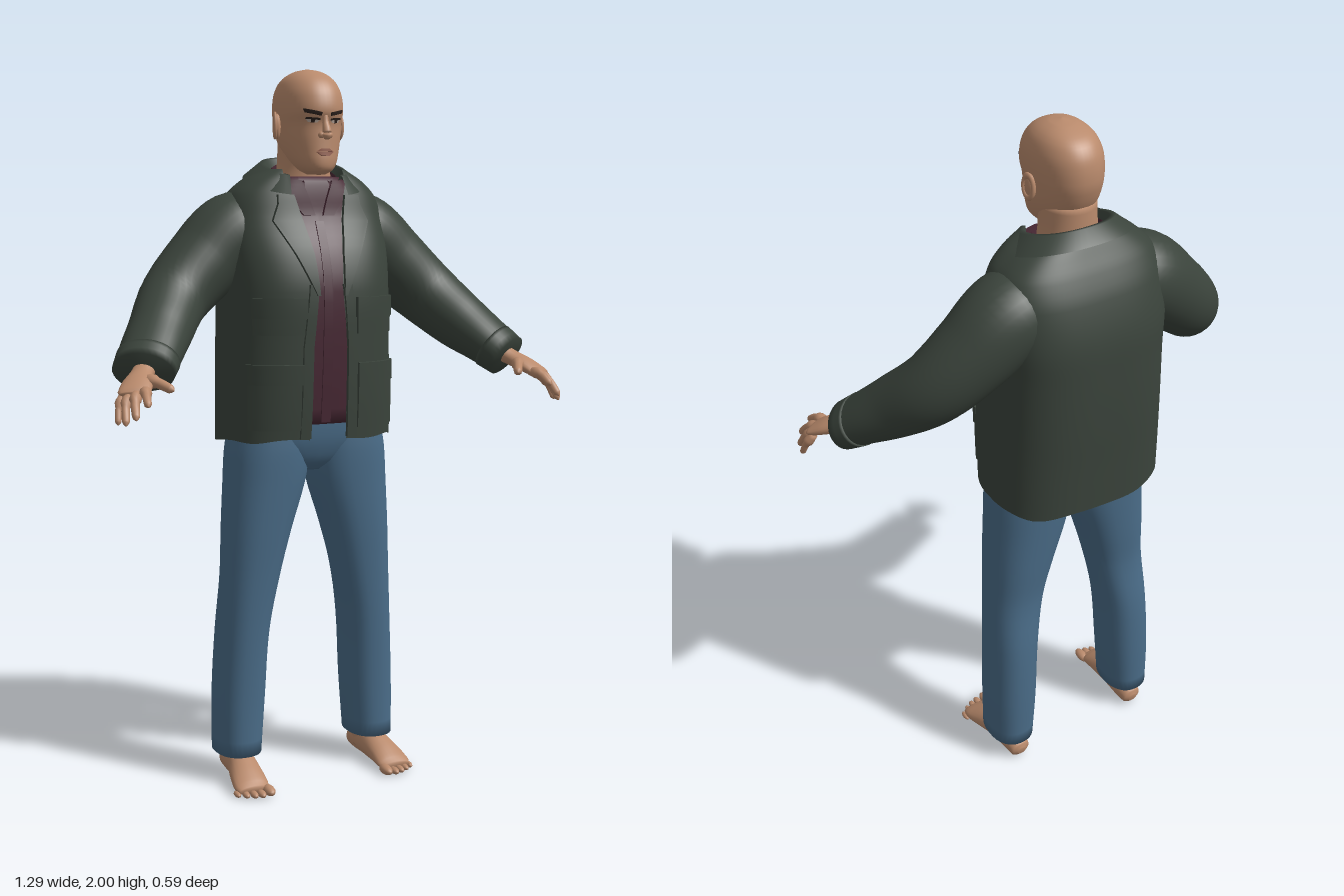
import * as THREE from 'three';

const V = (x, y, z) => new THREE.Vector3(x, y, z);
const mat = (name, color, side = THREE.FrontSide) =>
  Object.assign(new THREE.MeshStandardMaterial({ color, side }), { name });

// Skin a list of point rings; open rings leave a slit, closed ones may be capped
function loft(rings, { open = false, caps = true } = {}) {
  const n = rings[0].length, pos = [], idx = [];
  rings.forEach(r => r.forEach(p => pos.push(p.x, p.y, p.z)));
  for (let i = 0; i < rings.length - 1; i++)
    for (let j = 0; j < (open ? n - 1 : n); j++) {
      const k = (j + 1) % n, a = i * n + j, b = i * n + k;
      idx.push(a, b, b + n, a, b + n, a + n);
    }
  if (caps && !open) [0, rings.length - 1].forEach((i, end) => {
    const c = rings[i].reduce((s, p) => s.add(p), V(0, 0, 0)).divideScalar(n);
    const ci = pos.length / 3;
    pos.push(c.x, c.y, c.z);
    for (let j = 0; j < n; j++) {
      const a = i * n + j, b = i * n + (j + 1) % n;
      end ? idx.push(ci, a, b) : idx.push(ci, b, a);
    }
  });
  const g = new THREE.BufferGeometry();
  g.setAttribute('position', new THREE.Float32BufferAttribute(pos, 3));
  g.setIndex(idx);
  g.computeVertexNormals();
  return g;
}

// Profile rows are [y, halfWidth, zFront, zBack, centreX, frontGap]; smooth lookup by height
function at(rows, y) {
  let i = 0;
  while (i < rows.length - 2 && y > rows[i + 1][0]) i++;
  const a = rows[i], b = rows[i + 1], h = b[0] - a[0];
  const t = THREE.MathUtils.clamp((y - a[0]) / h, 0, 1), t2 = t * t, t3 = t2 * t;
  const slope = (k, c) => {
    const p = rows[Math.max(k - 1, 0)], q = rows[Math.min(k + 1, rows.length - 1)];
    return (q[c] - p[c]) / (q[0] - p[0]);
  };
  return a.map((v, c) => v * (2 * t3 - 3 * t2 + 1) + b[c] * (3 * t2 - 2 * t3)
    + h * (slope(i, c) * (t3 - 2 * t2 + t) + slope(i + 1, c) * (t3 - t2)));
}

// Horizontal superellipse ring
function ring([y, rx, zf, zb, cx = 0, gap = 0], n, seg, open) {
  const cz = (zf + zb) / 2, rz = (zf - zb) / 2, pts = [];
  const t0 = open ? Math.asin(Math.min(1, Math.pow(Math.max(0, gap) / rx, n / 2))) : 0;
  const pw = v => Math.sign(v) * Math.pow(Math.abs(v), 2 / n);
  for (let j = 0; j < seg + (open ? 1 : 0); j++) {
    const t = t0 + (2 * Math.PI - 2 * t0) * j / seg;
    pts.push(V(cx + rx * pw(Math.sin(t)), y, cz + rz * pw(Math.cos(t))));
  }
  return pts;
}

function bodyRings(rows, n = 2.2, seg = 40, open = false, sub = 4) {
  const rings = [];
  for (let i = 0; i < rows.length - 1; i++)
    for (let s = 0; s < sub; s++)
      rings.push(ring(at(rows, THREE.MathUtils.lerp(rows[i][0], rows[i + 1][0], s / sub)), n, seg, open));
  rings.push(ring(rows[rows.length - 1], n, seg, open));
  return rings;
}

// Front surface depth of a profile
const front = (rows, n) => (x, y) => {
  const [, rx, zf, zb] = at(rows, y);
  return (zf + zb) / 2 + (zf - zb) / 2 * Math.pow(Math.max(0, 1 - Math.pow(Math.abs(x / rx), n)), 1 / n);
};

// Thin plate following a front surface; rows [y, xInner, xOuter] from top to bottom
function panel(surf, rows, thick, lift = 0, tilt = 0) {
  const g = new THREE.BoxGeometry(1, 1, thick, 8, (rows.length - 1) * 4, 1), p = g.attributes.position;
  for (let i = 0; i < p.count; i++) {
    const f = (0.5 - p.getY(i)) * (rows.length - 1), k = Math.min(Math.floor(f + 1e-6), rows.length - 2);
    const [y0, xa, xb] = rows[k].map((v, c) => THREE.MathUtils.lerp(v, rows[k + 1][c], f - k));
    const x = THREE.MathUtils.lerp(xa, xb, p.getX(i) + 0.5), y = y0 + tilt * (x - xa);
    p.setXYZ(i, x, y, surf(x, y) + lift + p.getZ(i));
  }
  g.computeVertexNormals();
  return g;
}

// Tube with elliptical section through points [x, y, z, halfWidth, halfHeight]
function sweep(pts, steps = 20, seg = 20) {
  const path = new THREE.CatmullRomCurve3(pts.map(p => V(p[0], p[1], p[2])));
  const size = new THREE.CatmullRomCurve3(pts.map(p => V(p[3], p[4] ?? p[3], 0)));
  const rings = [];
  for (let i = 0; i <= steps; i++) {
    const c = path.getPoint(i / steps), T = path.getTangent(i / steps), r = size.getPoint(i / steps);
    const S = V(0, 1, 0).cross(T).normalize(), N = T.clone().cross(S);
    rings.push(Array.from({ length: seg }, (_, j) => {
      const a = j / seg * Math.PI * 2;
      return c.clone().addScaledVector(S, r.x * Math.cos(a)).addScaledVector(N, r.y * Math.sin(a));
    }));
  }
  return loft(rings);
}

function mirror(geo) {
  const g = geo.clone().scale(-1, 1, 1), ix = g.index.array;
  for (let i = 0; i < ix.length; i += 3) [ix[i], ix[i + 1]] = [ix[i + 1], ix[i]];
  return g;
}

export function createModel() {
  const model = new THREE.Group();
  model.name = 'man';
  const skin = mat('skin', 0xb98a6c), jacket = mat('jacket green', 0x3b443c, THREE.DoubleSide),
    shirt = mat('shirt maroon', 0x482834, THREE.DoubleSide), denim = mat('denim', 0x4a6c88),
    hair = mat('brow dark', 0x2c211d), white = mat('eye white', 0xb9a79a), lip = mat('lips', 0x94604f);
  const add = (name, geo, m) => {
    const o = new THREE.Mesh(geo, m);
    o.name = name;
    model.add(o);
  };
  const pair = (name, geo, m) => {
    add(name + 'Left', geo, m);
    add(name + 'Right', mirror(geo), m);
  };

  // Head and neck
  const headRows = [[1.715, 0.02, 0.035, -0.04], [1.725, 0.04, 0.052, -0.06], [1.745, 0.057, 0.058, -0.1],
    [1.775, 0.07, 0.057, -0.14], [1.81, 0.079, 0.056, -0.165], [1.85, 0.084, 0.056, -0.181],
    [1.88, 0.087, 0.067, -0.186], [1.92, 0.086, 0.061, -0.183], [1.95, 0.078, 0.046, -0.172],
    [1.975, 0.062, 0.02, -0.148], [1.993, 0.034, -0.02, -0.102], [2.0, 0.002, -0.058, -0.062]];
  const face = front(headRows, 2.2);
  add('head', loft(bodyRings(headRows, 2.2, 48)), skin);
  add('neck', loft(bodyRings([[1.55, 0.1, 0.0, -0.17], [1.62, 0.098, 0.0, -0.17], [1.68, 0.084, -0.014, -0.165],
    [1.74, 0.072, -0.014, -0.165], [1.81, 0.07, 0.0, -0.165]], 2.1)), skin);
  add('nose', sweep([[0, 1.872, 0.056, 0.008], [0, 1.85, 0.06, 0.009], [0, 1.828, 0.069, 0.012],
    [0, 1.817, 0.068, 0.013], [0, 1.81, 0.06, 0.006]], 14, 16), skin);
  pair('nostril', new THREE.SphereGeometry(0.009, 12, 8).translate(0.012, 1.818, 0.059), skin);
  pair('ear', new THREE.SphereGeometry(1, 16, 12).scale(0.01, 0.034, 0.018).rotateY(0.3).translate(0.09, 1.845, -0.06), skin);
  pair('earRim', new THREE.TorusGeometry(0.016, 0.005, 8, 20).scale(1, 1.8, 1).rotateY(Math.PI / 2 + 0.3)
    .translate(0.096, 1.847, -0.061), skin);
  pair('brow', panel(face, [[1.877, 0.013, 0.058], [1.868, 0.015, 0.054]], 0.008, 0.001, 0.22), hair);
  pair('lash', panel(face, [[1.862, 0.017, 0.05], [1.857, 0.016, 0.051]], 0.007, 0.001, 0.08), hair);
  pair('eye', panel(face, [[1.857, 0.017, 0.05], [1.85, 0.023, 0.044]], 0.005, 0, 0.08), white);
  pair('iris', panel(face, [[1.858, 0.029, 0.039], [1.85, 0.03, 0.038]], 0.006, 0.001, 0.08), hair);
  add('upperLip', panel(face, [[1.782, -0.011, 0.011], [1.774, -0.025, 0.025]], 0.009, 0.002), lip);
  add('lowerLip', panel(face, [[1.773, -0.024, 0.024], [1.763, -0.012, 0.012]], 0.009, 0.001), lip);

  // Shirt with open neck
  const shirtRows = [[1.035, 0.2, 0.06, -0.2, 0, 0], [1.2, 0.2, 0.074, -0.22, 0, 0], [1.4, 0.2, 0.08, -0.23, 0, 0],
    [1.5, 0.2, 0.058, -0.23, 0, 0], [1.6, 0.185, 0.014, -0.22, 0, 0.003], [1.66, 0.16, 0.004, -0.2, 0, 0.028],
    [1.71, 0.1, -0.004, -0.175, 0, 0.05]];
  const shirtFront = front(shirtRows, 2.6);
  add('shirt', loft(bodyRings(shirtRows, 2.6, 56, true)), shirt);
  add('shirtPlacket', panel(shirtFront, [[1.59, -0.012, 0.012], [1.3, -0.014, 0.014], [1.04, -0.014, 0.014]], 0.008), shirt);
  pair('shirtCollarPoint', panel(shirtFront, [[1.70, 0.046, 0.09], [1.65, 0.026, 0.085], [1.605, 0.012, 0.045]], 0.01, 0.005), shirt);
  const collar = (rows, tilt) => loft(rows.map(r => ring(r, 2.2, 48, true)
    .map(p => V(p.x, p.y - (p.z + 0.18) * tilt, p.z))), { open: true });
  add('shirtCollar', collar([[1.7, 0.082, 0, -0.165, 0, 0.035], [1.755, 0.085, 0, -0.166, 0, 0.035],
    [1.75, 0.092, 0.01, -0.17, 0, 0.036], [1.7, 0.106, 0.018, -0.175, 0, 0.04]], 0.32), shirt);

  // Jacket body, open at the front with a dipping wavy hem
  const jacketRows = [[0.995, 0.246, 0.08, -0.275, 0, 0.055], [1.1, 0.244, 0.088, -0.282, 0, 0.053],
    [1.25, 0.239, 0.095, -0.291, 0, 0.052], [1.4, 0.236, 0.097, -0.294, 0, 0.037], [1.5, 0.238, 0.075, -0.29, 0, 0.045],
    [1.6, 0.232, 0.031, -0.262, 0, 0.062], [1.66, 0.213, 0.012, -0.232, 0, 0.078], [1.7, 0.172, 0, -0.206, 0, 0.09],
    [1.73, 0.122, -0.012, -0.186, 0, 0.09]];
  const coat = front(jacketRows, 2.8);
  const coatRings = bodyRings(jacketRows, 2.8, 80, true);
  coatRings.forEach(r => r.forEach((p, j) => {
    const low = Math.max(0, (1.12 - p.y) / 0.125);
    p.y -= low * (0.022 * (0.08 - p.z) / 0.355 + 0.004 * Math.sin(j * 0.47));
  }));
  add('jacketBody', loft(coatRings, { open: true }), jacket);
  add('jacketCollar', collar([[1.72, 0.1, 0, -0.165, 0, 0.075], [1.765, 0.108, 0.01, -0.175, 0, 0.075],
    [1.765, 0.122, 0.02, -0.19, 0, 0.078], [1.722, 0.17, 0.04, -0.222, 0, 0.085]], 0.3), jacket);
  pair('lapel', panel(coat, [[1.66, 0.076, 0.12], [1.635, 0.07, 0.122], [1.59, 0.06, 0.142], [1.5, 0.044, 0.095],
    [1.39, 0.036, 0.044]], 0.012, 0.008), jacket);
  pair('frontEdge', panel(coat, [[1.42, 0.037, 0.062], [1.25, 0.052, 0.08], [1.1, 0.053, 0.082], [1.0, 0.055, 0.085]], 0.012, 0.002), jacket);

  // Four flap pockets
  [[1.385, 1.285, 0.075, 0.212], [1.205, 1.025, 0.082, 0.222]].forEach(([top, bottom, xa, xb], i) => {
    const name = i ? 'lowerPocket' : 'chestPocket', drop = top - 0.055;
    pair(name, panel(coat, [[top - 0.01, xa + 0.004, xb - 0.004], [bottom, xa + 0.004, xb - 0.004]], 0.014, 0.003), jacket);
    pair(name + 'Flap', panel(coat, [[top, xa, xb], [drop, xa, xb]], 0.016, 0.009), jacket);
  });

  // Sleeves and cuffs
  pair('sleeve', sweep([[0.1, 1.585, -0.12, 0.09], [0.2, 1.55, -0.125, 0.116], [0.29, 1.475, -0.115, 0.107],
    [0.385, 1.385, -0.08, 0.095], [0.455, 1.303, 0.005, 0.087, 0.083], [0.5, 1.255, 0.065, 0.085, 0.07],
    [0.54, 1.21, 0.12, 0.08, 0.06]], 40, 32), jacket);
  pair('cuff', sweep([[0.517, 1.236, 0.088, 0.086, 0.068], [0.542, 1.208, 0.123, 0.083, 0.062]], 3, 32), jacket);

  // Hands
  pair('palm', sweep([[0.53, 1.22, 0.11, 0.03, 0.025], [0.552, 1.203, 0.14, 0.03, 0.022], [0.575, 1.185, 0.178, 0.04, 0.02],
    [0.594, 1.168, 0.21, 0.042, 0.014], [0.599, 1.163, 0.22, 0.034, 0.007]], 16), skin);
  const finger = (name, a, m, b, r) => pair(name, sweep([[...a, r], [...m, r], [
    ...V(...m).lerp(V(...b), 0.8).toArray(), r * 0.85], [...b, r * 0.2]], 12, 10), skin);
  finger('indexFinger', [0.566, 1.172, 0.208], [0.576, 1.165, 0.25], [0.584, 1.14, 0.29], 0.0115);
  finger('middleFinger', [0.584, 1.169, 0.205], [0.604, 1.147, 0.247], [0.614, 1.108, 0.286], 0.0115);
  finger('ringFinger', [0.601, 1.165, 0.197], [0.622, 1.135, 0.228], [0.632, 1.092, 0.258], 0.011);
  finger('littleFinger', [0.615, 1.162, 0.185], [0.632, 1.13, 0.203], [0.641, 1.09, 0.222], 0.0095);
  finger('thumb', [0.556, 1.195, 0.16], [0.53, 1.188, 0.203], [0.503, 1.172, 0.247], 0.0135);

  // Jeans
  add('jeansHips', loft(bodyRings([[0.895, 0.05, -0.02, -0.13], [0.92, 0.12, 0.008, -0.17], [0.96, 0.195, 0.026, -0.19],
    [1.0, 0.226, 0.035, -0.2], [1.06, 0.224, 0.04, -0.2]], 2.5)), denim);
  pair('jeansLeg', loft(bodyRings([[0.08, 0.066, -0.01, -0.185, 0.21], [0.25, 0.072, -0.008, -0.188, 0.203],
    [0.44, 0.073, 0, -0.183, 0.192], [0.6, 0.083, 0.01, -0.167, 0.172], [0.73, 0.098, 0.02, -0.176, 0.152],
    [0.86, 0.115, 0.028, -0.185, 0.128], [0.95, 0.119, 0.032, -0.19, 0.118], [1.02, 0.11, 0.03, -0.19, 0.115]], 2.3, 32)), denim);

  // Bare feet
  pair('ankle', loft(bodyRings([[0.03, 0.036, -0.05, -0.158, 0.208], [0.07, 0.037, -0.05, -0.155, 0.208],
    [0.13, 0.038, -0.055, -0.15, 0.208]], 2.1, 24)), skin);
  pair('foot', sweep([[0.207, 0.03, -0.175, 0.012, 0.012], [0.207, 0.032, -0.165, 0.03, 0.029], [0.208, 0.042, -0.12, 0.037, 0.041],
    [0.211, 0.045, -0.06, 0.04, 0.044], [0.218, 0.034, 0, 0.047, 0.034], [0.223, 0.021, 0.05, 0.05, 0.021],
    [0.223, 0.015, 0.075, 0.043, 0.011]], 30, 24), skin);
  for (let i = 0; i < 5; i++) {
    const r = i ? 0.0115 - i * 0.0006 : 0.0155;
    pair('toe' + (i + 1), new THREE.SphereGeometry(r, 12, 10).scale(1, 0.9, 2)
      .translate(0.184 + i * 0.0205 + (i ? 0.004 : 0), r * 0.9, 0.115 - r * 2 - i * i * 0.0022), skin);
  }
  return model;
}
